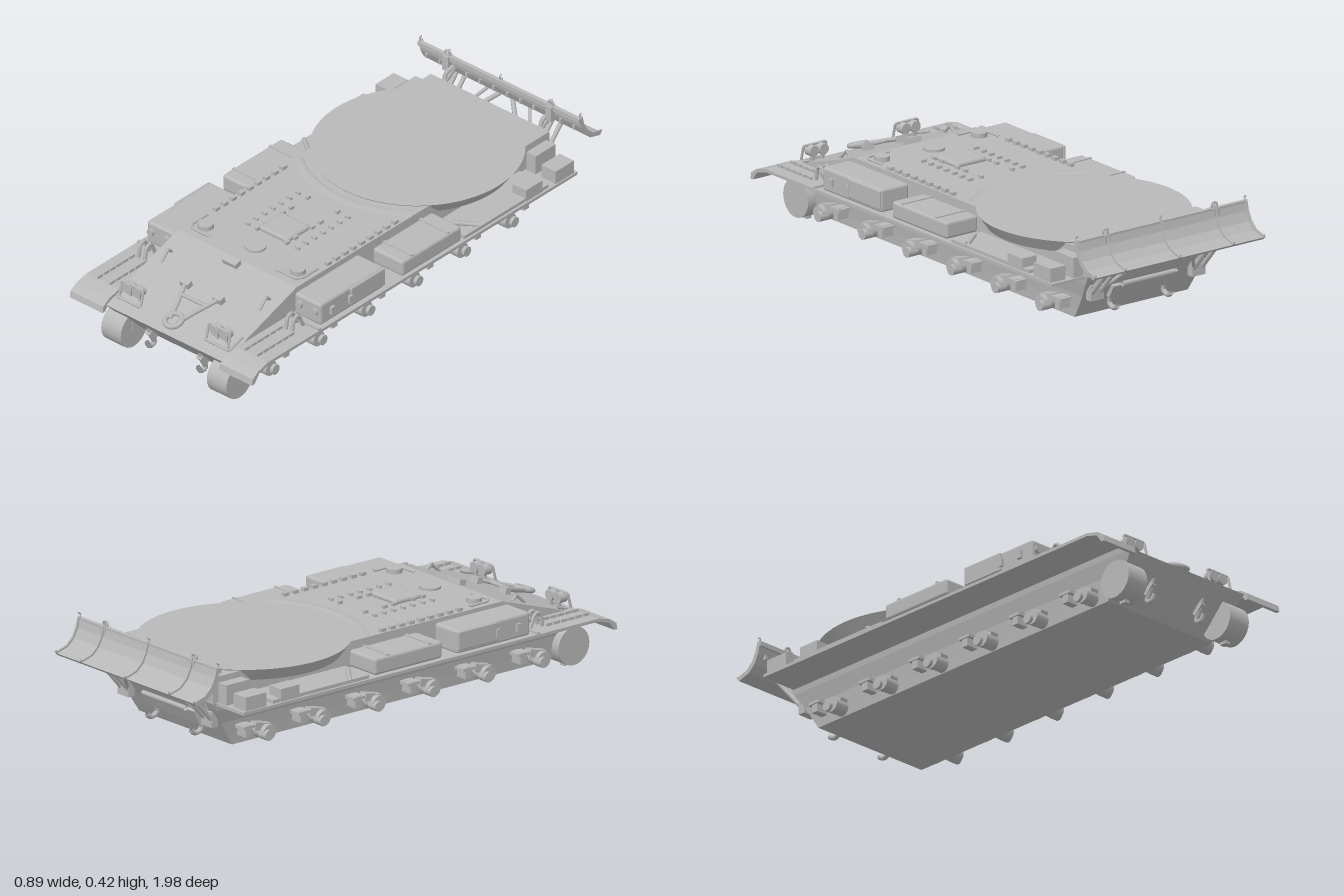
import * as THREE from 'three';
import { RoundedBoxGeometry } from 'three/addons/geometries/RoundedBoxGeometry.js';

export function createModel() {
  const model = new THREE.Group();
  model.name = 'armouredHull';
  const grey = new THREE.MeshStandardMaterial({ color: 0xb8b8b8 });
  grey.name = 'plain grey';
  grey.side = THREE.DoubleSide;

  const add = (name, geo, x = 0, y = 0, z = 0, rx = 0, ry = 0, rz = 0) => {
    const m = new THREE.Mesh(geo, grey);
    m.name = name;
    m.position.set(x, y, z);
    m.rotation.set(rx, ry, rz);
    model.add(m);
    return m;
  };
  const box = (name, w, h, d, x, y, z, rx = 0, ry = 0, rz = 0) =>
    add(name, new THREE.BoxGeometry(w, h, d), x, y, z, rx, ry, rz);
  const rbox = (name, w, h, d, x, y, z) =>
    add(name, new RoundedBoxGeometry(w, h, d, 2, 0.012), x, y, z);
  const disc = (name, r, h, x, y, z, rx = 0, rz = 0) =>
    add(name, new THREE.CylinderGeometry(r, r, h, 24), x, y, z, rx, 0, rz);
  const tube = (name, pts, r, smooth = false) => {
    const v = pts.map(p => new THREE.Vector3(...p));
    const curve = new THREE.CatmullRomCurve3(v, false, 'catmullrom', smooth ? 0.5 : 0);
    return add(name, new THREE.TubeGeometry(curve, pts.length * 6, r, 8), 0, 0, 0);
  };
  // side profile of [z, y] points extruded along x from x0 to x1
  const slab = (name, pts, x0, x1) => {
    const shape = new THREE.Shape(pts.map(([z, y]) => new THREE.Vector2(-z, y)));
    const g = new THREE.ExtrudeGeometry(shape, { depth: x1 - x0, bevelEnabled: false });
    g.rotateY(Math.PI / 2);
    return add(name, g, x0, 0, 0);
  };
  const both = fn => [1, -1].forEach(fn);
  const glacisY = z => 0.19 + (0.97 - z) * 0.33;
  const tilt = Math.atan(0.33);

  // Hull: stacked rectangles [y, half width, front z, rear z]
  const levels = [
    [0.035, 0.262, 0.82, -0.70], [0.08, 0.266, 0.868, -0.728], [0.13, 0.272, 0.915, -0.758],
    [0.19, 0.288, 0.97, -0.798], [0.22, 0.292, 0.88, -0.815], [0.322, 0.29, 0.57, -0.82]];
  const pos = [], idx = [];
  for (const [y, w, f, b] of levels) pos.push(-w, y, f, w, y, f, w, y, b, -w, y, b);
  for (let i = 0; i < levels.length - 1; i++)
    for (let k = 0; k < 4; k++) {
      const a = i * 4 + k, b = i * 4 + (k + 1) % 4;
      idx.push(a, b, b + 4, a, b + 4, a + 4);
    }
  const t = (levels.length - 1) * 4;
  idx.push(t, t + 1, t + 2, t, t + 2, t + 3, 0, 2, 1, 0, 3, 2);
  const indexed = new THREE.BufferGeometry();
  indexed.setAttribute('position', new THREE.Float32BufferAttribute(pos, 3));
  indexed.setIndex(idx);
  const hullGeo = indexed.toNonIndexed();
  hullGeo.computeVertexNormals();
  add('hull', hullGeo);

  // Turret plate and the sloped arc in front of it
  add('turretPlate', new THREE.CylinderGeometry(0.395, 0.36, 0.05, 72), 0, 0.301, -0.42);
  add('turretArc', new THREE.LatheGeometry([[0.42, 0.321], [0.435, 0.329], [0.465, 0.321]]
    .map(p => new THREE.Vector2(...p)), 32, -0.68, 1.36), 0, 0, -0.42);

  // Deck fittings
  disc('driverHatch', 0.04, 0.012, 0, 0.326, 0.47);
  rbox('deckPanel', 0.14, 0.024, 0.13, 0, 0.328, 0.31);
  box('periscope', 0.065, 0.022, 0.03, 0, 0.322, 0.6, tilt);
  both(s => {
    disc('deckCap', 0.03, 0.02, s * 0.225, 0.33, 0.49);
    tube('deckGuard', [[s * 0.16, 0.328, 0.535], [s * 0.25, 0.328, 0.535],
      [s * 0.27, 0.328, 0.515], [s * 0.27, 0.328, 0.43]], 0.005);
    for (let i = 0; i < 9; i++) box('edgeBolt', 0.018, 0.016, 0.024, s * 0.273, 0.327, 0.01 + i * 0.046);
    for (let i = 0; i < 7; i++) {
      box('deckCleat', 0.022, 0.012, 0.01, s * 0.122, 0.326, 0.1 + i * 0.046);
      if (i % 3 !== 1) box('deckClip', 0.012, 0.014, 0.02, s * 0.072, 0.327, 0.1 + i * 0.046);
    }
  });

  // Towing frame on the front slope
  const gz = (x, z, h = 0.015) => [x, glacisY(z) + h, z];
  both(s => {
    tube('towFrameArm', [gz(s * 0.085, 0.755), gz(s * 0.04, 0.86), gz(s * 0.02, 0.92)], 0.009);
    box('towFrameFoot', 0.04, 0.03, 0.025, s * 0.08, glacisY(0.76) + 0.01, 0.76, tilt);
    const hook = tube('slopeHook', [gz(s * 0.24, 0.66, 0), gz(s * 0.24, 0.68, 0.025), gz(s * 0.24, 0.72, 0)], 0.006);
    hook.name = 'slopeHook';
  });
  tube('towFrameBar', [gz(-0.06, 0.81), gz(0.06, 0.81)], 0.007);
  add('towRing', new THREE.TorusGeometry(0.033, 0.01, 8, 24), 0, glacisY(0.92) + 0.018, 0.92, Math.PI / 2 + tilt);

  both(s => {
    // Headlights and guard
    for (const x of [0.19, 0.235]) {
      disc('headlight', 0.021, 0.035, s * x, 0.255, 0.895, Math.PI / 2);
      box('headlightStand', 0.012, 0.03, 0.012, s * x, 0.225, 0.89);
    }
    tube('lightGuard', [[s * 0.16, 0.215, 0.92], [s * 0.16, 0.275, 0.905], [s * 0.265, 0.275, 0.905],
      [s * 0.265, 0.215, 0.92]], 0.005);
    tube('lightGuardBase', [[s * 0.155, 0.212, 0.925], [s * 0.275, 0.212, 0.925], [s * 0.275, 0.235, 0.85]], 0.005);

    // Fender with a front flap that curls down
    const x0 = s > 0 ? 0.285 : -0.445, x1 = s > 0 ? 0.445 : -0.285;
    slab('fender', [[0.99, 0.165], [0.985, 0.19], [0.955, 0.21], [0.9, 0.224], [-0.8, 0.224], [-0.8, 0.212],
      [0.9, 0.212], [0.95, 0.198], [0.975, 0.165]], x0, x1);
    box('fenderRib', 0.155, 0.012, 0.012, s * 0.366, 0.226, 0.615);
    for (const x of [0.33, 0.39])
      for (let i = 0; i < 6; i++) box('fenderCleat', 0.006, 0.012, 0.028, s * x, 0.229, 0.71 + i * 0.035);
    for (const x of [0.345, 0.375])
      tube('fenderLoop', [[s * x, 0.222, 0.69], [s * x, 0.27, 0.68], [s * x, 0.275, 0.655], [s * x, 0.222, 0.63]], 0.007, true);

    // Stowage boxes along the fender
    rbox('frontStowage', 0.13, 0.092, 0.35, s * 0.36, 0.266, 0.415);
    rbox('frontStowageDoor', 0.012, 0.075, 0.19, s * 0.427, 0.272, 0.335);
    for (const z of [0.37, 0.47]) box('stowageLatch', 0.012, 0.03, 0.02, s * 0.43, 0.265, z + 0.06);
    for (const x of [0.325, 0.4]) disc('stowageCap', 0.014, 0.02, s * x, 0.275, 0.592, Math.PI / 2);
    rbox('middleStowage', 0.148, 0.066, 0.325, s * 0.367, 0.262, -0.005);
    for (const z of [-0.1, 0.1]) box('lidStrap', 0.14, 0.006, 0.012, s * 0.367, 0.296, z);
    box('sidePlate', 0.14, 0.014, 0.46, s * 0.365, 0.23, -0.42);
    box('rearStowage', 0.065, 0.05, 0.09, s * 0.405, 0.248, -0.57);
    box('rearBlock', 0.07, 0.055, 0.1, s * 0.405, 0.25, -0.735);
    box('rearBracket', 0.045, 0.08, 0.11, s * 0.32, 0.262, -0.74);
    tube('fenderPipe', [[s * 0.43, 0.24, -0.28], [s * 0.35, 0.245, -0.22]], 0.009);

    // Front idler drum
    disc('idlerDrum', 0.074, 0.095, s * 0.258, 0.084, 0.9, 0, Math.PI / 2);
    box('idlerTooth', 0.022, 0.02, 0.03, s * 0.255, 0.01, 0.9);
    box('idlerArm', 0.03, 0.05, 0.12, s * 0.225, 0.1, 0.85);

    // Six suspension stations
    for (let i = 0; i < 6; i++) {
      const z = 0.745 - i * 0.263;
      disc('axleHub', 0.03, 0.06, s * 0.292, 0.068, z, 0, Math.PI / 2);
      disc('axleStub', 0.02, 0.04, s * 0.315, 0.062, z - 0.012, 0, Math.PI / 2);
      box('swingArm', 0.035, 0.03, 0.08, s * 0.285, 0.088, z - 0.012, 0.25);
      box('bumpStop', 0.05, 0.045, 0.028, s * 0.29, 0.092, z - 0.095);
      box('bumpPlate', 0.05, 0.012, 0.055, s * 0.295, 0.107, z - 0.095);
    }

    // Tow hooks front and rear
    tube('frontHook', [[s * 0.125, 0.14, 0.915], [s * 0.125, 0.1, 0.905], [s * 0.125, 0.06, 0.885],
      [s * 0.125, 0.053, 0.91], [s * 0.125, 0.075, 0.925]], 0.01, true);
    box('frontHookPlate', 0.024, 0.05, 0.02, s * 0.125, 0.1, 0.9, 0.75);
    tube('rearHook', [[s * 0.125, 0.12, -0.75], [s * 0.125, 0.075, -0.73], [s * 0.125, 0.058, -0.755],
      [s * 0.125, 0.07, -0.78]], 0.01, true);

    // Struts carrying the blade
    box('strutFoot', 0.06, 0.06, 0.03, s * 0.235, 0.15, -0.785);
    for (const x of [0.215, 0.255]) tube('bladeArm', [[s * x, 0.14, -0.785], [s * x, 0.3, -0.925]], 0.009);
    tube('bladeRam', [[s * 0.235, 0.29, -0.81], [s * 0.235, 0.35, -0.89]], 0.013);
    tube('bladeLink', [[s * 0.235, 0.15, -0.785], [s * 0.235, 0.34, -0.84], [s * 0.235, 0.35, -0.885]], 0.009);
    tube('bladeBrace', [[s * 0.15, 0.2, -0.81], [s * 0.03, 0.31, -0.91]], 0.009);
    tube('bladeCrossBrace', [[s * 0.22, 0.15, -0.79], [s * 0.1, 0.3, -0.925]], 0.007);
    box('liftLug', 0.028, 0.06, 0.03, s * 0.252, 0.365, -0.87);
    add('liftRing', new THREE.TorusGeometry(0.012, 0.004, 8, 16), s * 0.252, 0.405, -0.87);
  });
  box('rearPanel', 0.3, 0.06, 0.02, 0, 0.13, -0.765, -0.5);
  tube('rearRail', [[-0.12, 0.16, -0.8], [0.12, 0.16, -0.8]], 0.01);

  // Concave dozer blade with ribs, rail and teeth
  const face = [[-0.878, 0.397], [-0.887, 0.36], [-0.905, 0.325], [-0.935, 0.298], [-0.987, 0.283]];
  const back = face.map(([z, y]) => [z + 0.007, y - 0.009]).reverse();
  slab('blade', [...face, ...back], -0.393, 0.393);
  box('bladeRail', 0.79, 0.018, 0.016, 0, 0.388, -0.872);
  const rib = [...face.map(([z, y]) => [z - 0.006, y + 0.006]), ...back];
  for (const x of [-0.39, -0.25, 0, 0.25, 0.39]) {
    slab('bladeRib', rib, x - 0.004, x + 0.004);
    tube('ribHook', [[x, 0.39, -0.876], [x, 0.412, -0.872], [x, 0.416, -0.882]], 0.003);
    tube('ribTip', [[x, 0.284, -0.98], [x, 0.292, -0.992]], 0.004);
  }
  for (let i = 0; i < 12; i++) box('backTooth', 0.008, 0.018, 0.014, -0.36 + i * 0.0655, 0.345, -0.878);

  return model;
}
